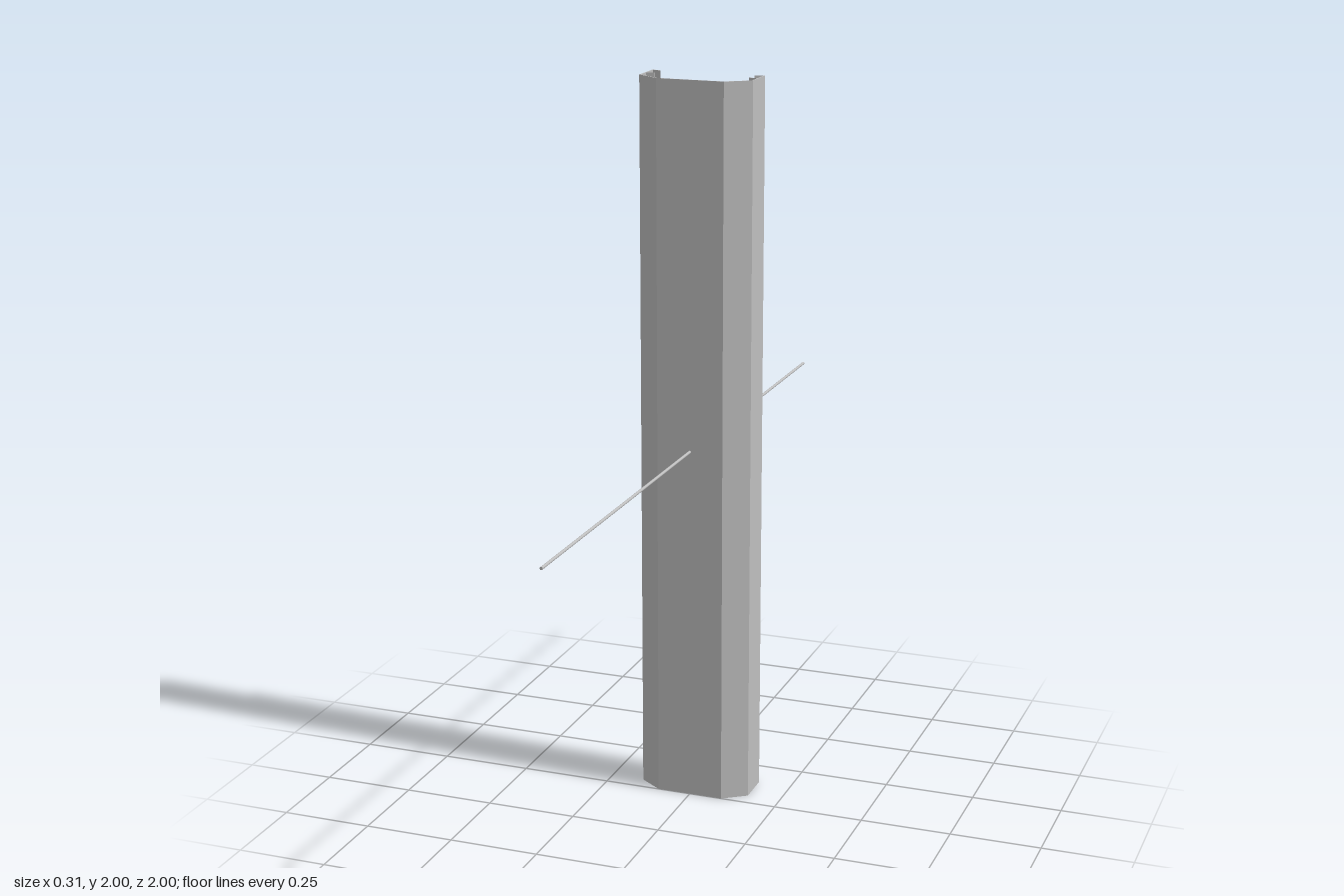
import * as THREE from 'three';

export function createModel() {
  const model = new THREE.Group();
  const steel = new THREE.MeshStandardMaterial({ color: 0xbfbfbf });
  steel.name = 'grey steel';

  // Right half of the folded sheet section: [x, distance behind the front face]
  const half = [
    [0.093, 0], [0.157, 0.045], [0.157, 0.142],
    [0.131, 0.134], [0.131, 0.131], [0.154, 0.138], // rear lip
    [0.154, 0.088], [0.131, 0.092], [0.131, 0.089], [0.154, 0.085], // inner rib
    [0.154, 0.0465], [0.092, 0.003],
  ];
  const outline = [...half, ...half.slice().reverse().map(([x, d]) => [-x, d])];
  const section = new THREE.Shape(outline.map(([x, d]) => new THREE.Vector2(x, d)));

  // Upright channel, extruded over the full height
  const channelGeometry = new THREE.ExtrudeGeometry(section, { depth: 2, bevelEnabled: false });
  channelGeometry.rotateX(-Math.PI / 2);
  const channel = new THREE.Mesh(channelGeometry, steel);
  channel.name = 'channel';
  model.add(channel);

  // Thin rod passing through the middle of the channel, front to back
  const rodGeometry = new THREE.CylinderGeometry(0.004, 0.004, 2, 12);
  rodGeometry.rotateX(Math.PI / 2);
  const rod = new THREE.Mesh(rodGeometry, steel);
  rod.name = 'rod';
  rod.position.y = 1;
  model.add(rod);

  return model;
}
